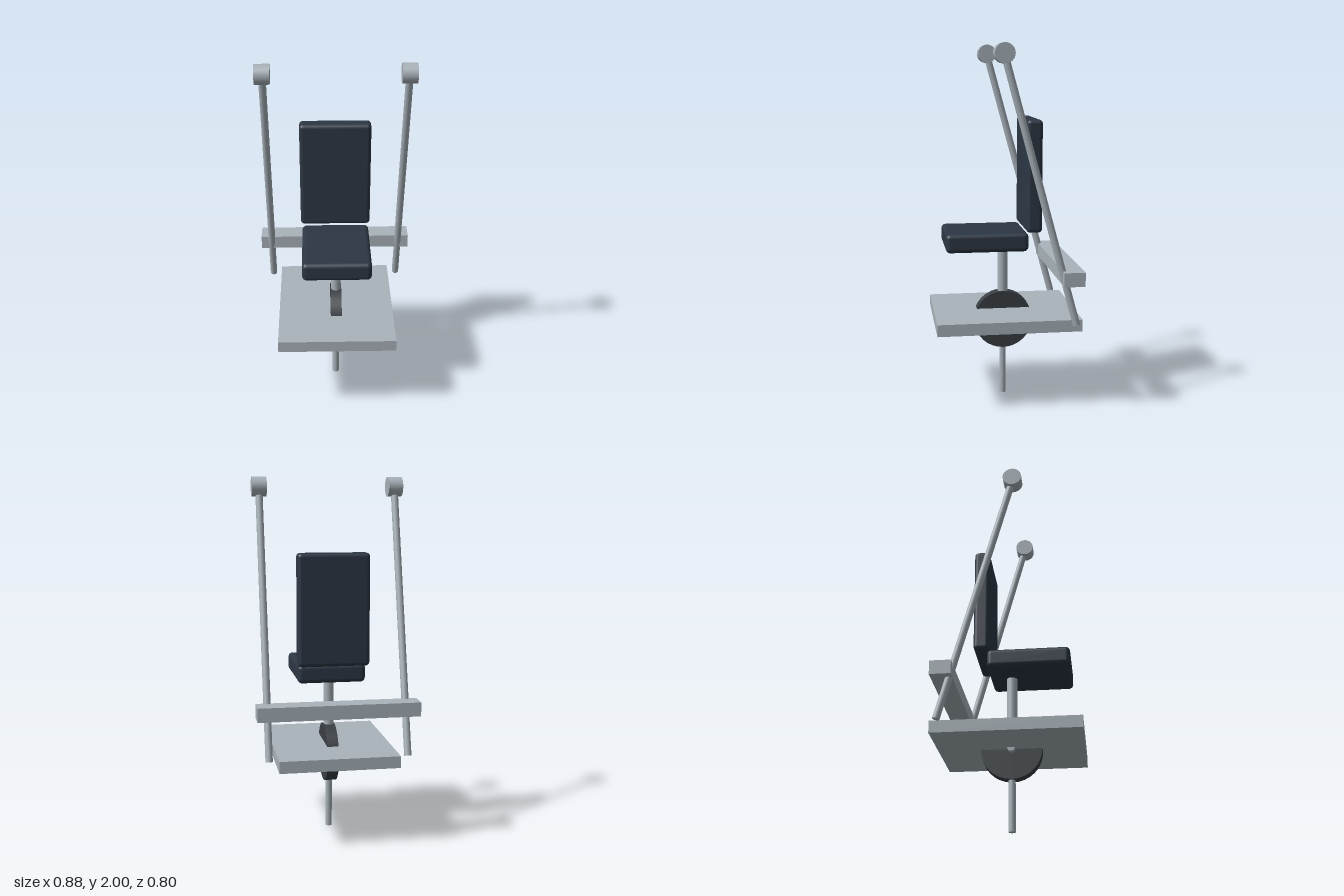
import * as THREE from 'three';
import { RoundedBoxGeometry } from 'three/addons/geometries/RoundedBoxGeometry.js';

export function createModel() {
  const model = new THREE.Group();
  const steel = new THREE.MeshStandardMaterial({ color: 0xa9b3ba });
  const padding = new THREE.MeshStandardMaterial({ color: 0x2c3744 });
  const rubber = new THREE.MeshStandardMaterial({ color: 0x3a3f44 });

  function add(name, geometry, material, x, y, z) {
    const mesh = new THREE.Mesh(geometry, material);
    mesh.name = name;
    mesh.position.set(x, y, z);
    model.add(mesh);
    return mesh;
  }

  // Cylinder lying along x
  const crossCylinder = (radius, width) =>
    new THREE.CylinderGeometry(radius, radius, width, 32).rotateZ(Math.PI / 2);

  // Round bar between two points
  function rod(name, radius, from, to) {
    const direction = to.clone().sub(from);
    const middle = from.clone().add(to).multiplyScalar(0.5);
    const mesh = add(name, new THREE.CylinderGeometry(radius, radius, direction.length(), 24),
      steel, middle.x, middle.y, middle.z);
    mesh.quaternion.setFromUnitVectors(new THREE.Vector3(0, 1, 0), direction.normalize());
  }

  // Base plate and rear cross bar
  add('basePlate', new THREE.BoxGeometry(0.66, 0.066, 0.796), steel, 0, 0.479, 0);
  add('rearCrossBar', new THREE.BoxGeometry(0.884, 0.077, 0.114), steel, 0, 0.764, -0.328);

  // Wheel on its axle, with the posts below and above
  add('wheel', crossCylinder(0.166, 0.064), rubber, 0, 0.445, 0);
  add('axle', crossCylinder(0.02, 0.133), steel, 0, 0.445, 0);
  rod('lowerPost', 0.019, new THREE.Vector3(0, 0, 0), new THREE.Vector3(0, 0.445, 0));
  rod('seatPost', 0.029, new THREE.Vector3(0, 0.5, 0), new THREE.Vector3(0, 0.9, 0));

  // Padded seat and backrest
  add('seat', new RoundedBoxGeometry(0.38, 0.105, 0.457, 4, 0.025), padding, 0, 0.922, 0.107);
  add('backrest', new RoundedBoxGeometry(0.398, 0.62, 0.087, 4, 0.022), padding, 0, 1.285, -0.152);

  // Leaning side arms with round heads
  for (const [side, x] of [['left', 0.38], ['right', -0.38]]) {
    rod(`${side}Arm`, 0.02, new THREE.Vector3(x, 0.5, -0.352), new THREE.Vector3(x, 1.948, 0.043));
    add(`${side}ArmHead`, crossCylinder(0.053, 0.08), steel, x, 1.947, 0.043);
  }

  return model;
}
